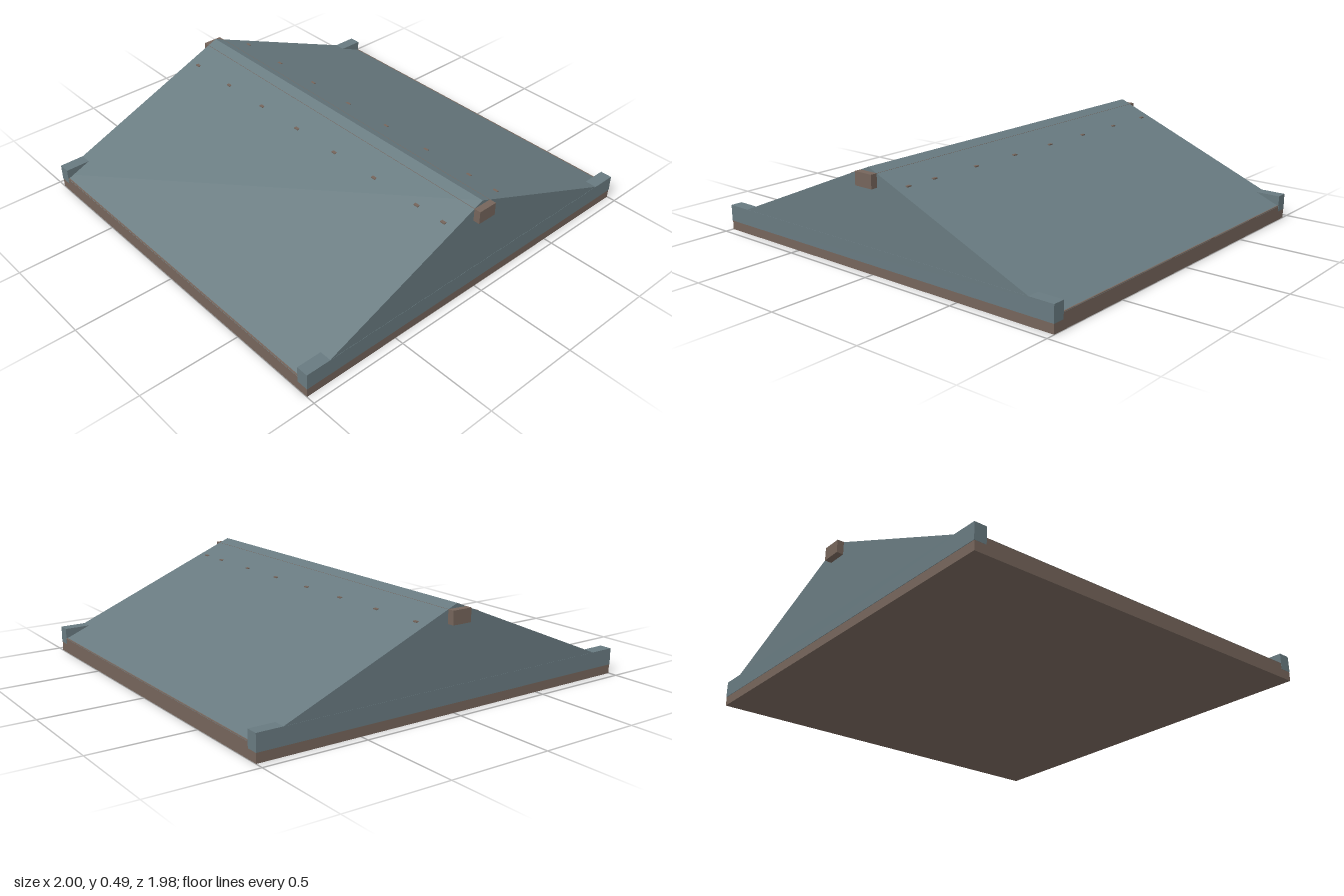
import * as THREE from 'three';

export function createModel() {
  const model = new THREE.Group();
  const slate = new THREE.MeshStandardMaterial({ color: 0x687a80, flatShading: true });
  const timber = new THREE.MeshStandardMaterial({ color: 0x75655b, flatShading: true });

  const box = (name, material, size, position) => {
    const mesh = new THREE.Mesh(new THREE.BoxGeometry(...size), material);
    mesh.name = name;
    mesh.position.set(...position);
    model.add(mesh);
  };

  // Timber slab under the roof
  box('base', timber, [1.998, 0.076, 1.912], [0, 0.038, 0]);

  // Gabled roof prism
  const depth = 1.914;
  const gable = new THREE.Shape([
    new THREE.Vector2(-1, 0.073),
    new THREE.Vector2(1, 0.073),
    new THREE.Vector2(0, 0.488),
  ]);
  const roofGeometry = new THREE.ExtrudeGeometry(gable, { depth, bevelEnabled: false });
  roofGeometry.translate(0, 0, -depth / 2);
  const roof = new THREE.Mesh(roofGeometry, slate);
  roof.name = 'roof';
  model.add(roof);

  // Fascia boards along the foot of each gable
  for (const side of [1, -1]) {
    box(side > 0 ? 'frontFascia' : 'backFascia', slate, [2, 0.08, 0.06], [0, 0.085, side * 0.928]);
  }

  // Ridge beam poking out at both ends
  box('ridgeBeam', timber, [0.1, 0.064, 1.98], [0, 0.436, 0]);

  // Collar ties whose ends just break through the slopes
  for (const z of [-0.89, -0.62, -0.35, -0.08, 0.19, 0.46, 0.73, 0.89]) {
    box('collarTie', timber, [0.35, 0.03, 0.025], [0, 0.406, z]);
  }

  return model;
}
